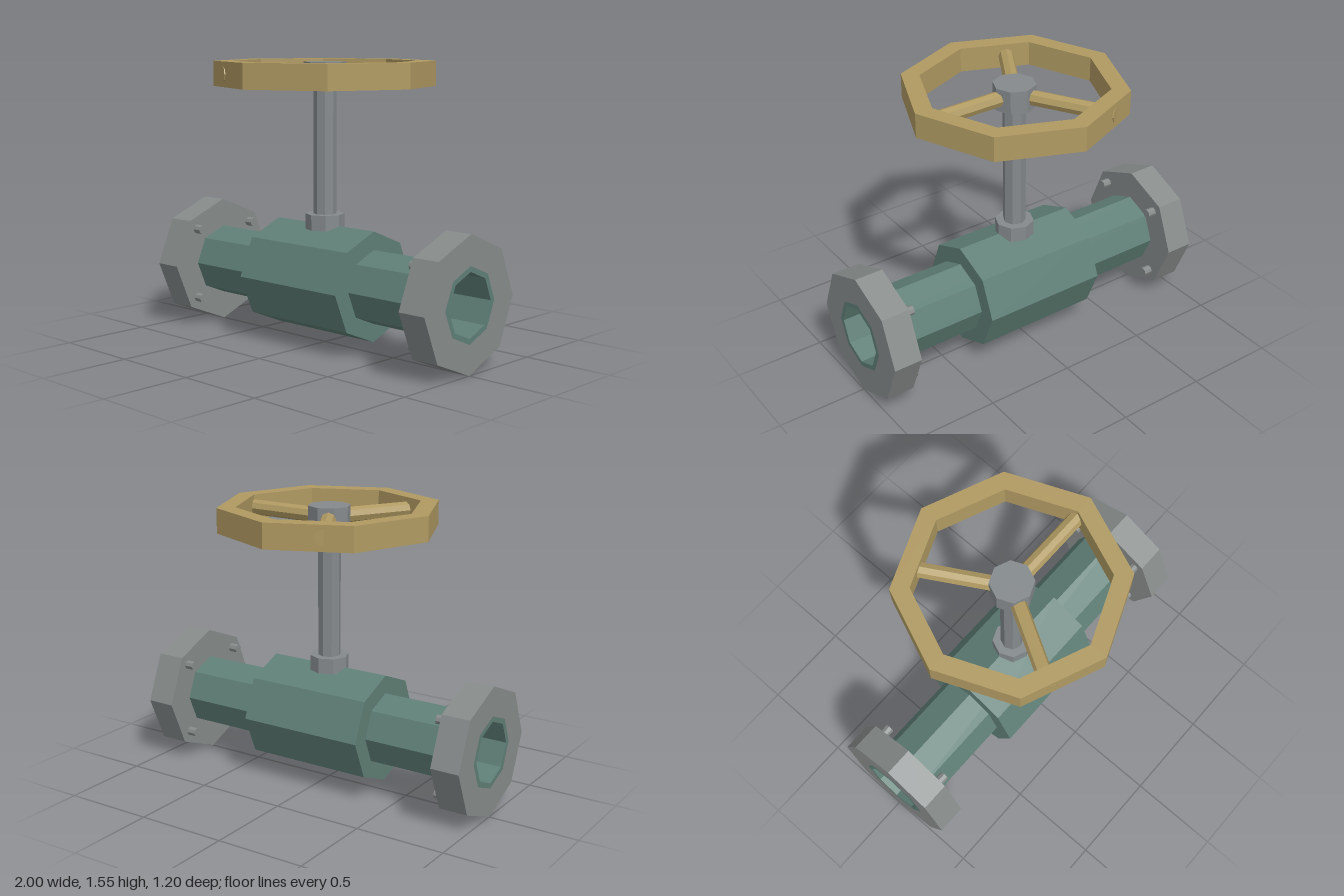
import * as THREE from 'three';

const SIDES = 8;
const AXIS_Y = 0.36;   // height of the pipe axis
const WHEEL_Y = 1.483; // middle of the handwheel

// Faceted copy of a geometry
function facet(geometry) {
  const flat = geometry.index ? geometry.toNonIndexed() : geometry;
  flat.computeVertexNormals();
  return flat;
}

// Eight-sided solid prism along y
function prism(radius, height) {
  return facet(new THREE.CylinderGeometry(radius, radius, height, SIDES));
}

// Eight-sided hollow ring along y
function ring(outer, inner, height) {
  const h = height / 2;
  const profile = [[outer, -h], [outer, h], [inner, h], [inner, -h], [outer, -h]]
    .map(([r, y]) => new THREE.Vector2(r, y));
  return facet(new THREE.LatheGeometry(profile, SIDES));
}

export function createModel() {
  const make = (name, color) => {
    const material = new THREE.MeshStandardMaterial({ color });
    material.name = name;
    return material;
  };
  const green = make('green paint', 0x5f7f76);
  const grey = make('flange grey', 0x868b8a);
  const steel = make('stem steel', 0x858a8d);
  const gold = make('wheel brass', 0xb09a62);

  const model = new THREE.Group();
  model.name = 'valve';
  const add = (parent, name, geometry, material, x = 0, y = 0, z = 0) => {
    const mesh = new THREE.Mesh(geometry, material);
    mesh.name = name;
    mesh.position.set(x, y, z);
    parent.add(mesh);
    return mesh;
  };

  // Pipe line: open bore, thicker valve body, a flange at each end
  const line = new THREE.Group();
  line.name = 'pipeLine';
  line.position.y = AXIS_Y;
  model.add(line);
  const along = (...args) => { add(line, ...args).rotation.z = Math.PI / 2; };

  along('pipe', ring(0.2, 0.17, 2), green);
  along('valveBody', ring(0.3, 0.19, 0.72), green);
  for (const side of [-1, 1]) {
    along('flange', ring(0.36, 0.199, 0.16), grey, side * 0.92);
    // Four bolts on the inner face of each flange
    for (const v of [-1, 1]) for (const w of [-1, 1]) {
      along('bolt', prism(0.026, 0.08), grey, side * 0.83, v * 0.203, w * 0.203);
    }
  }

  // Stem and its collar
  add(model, 'collar', prism(0.107, 0.085), steel, 0, 0.678, 0);
  add(model, 'stem', prism(0.062, 0.86), steel, 0, 1.03, 0);

  // Handwheel: hub, rim and three spokes
  const wheel = new THREE.Group();
  wheel.name = 'handwheel';
  wheel.position.y = WHEEL_Y;
  model.add(wheel);
  add(wheel, 'hub', prism(0.115, 0.125), steel);
  add(wheel, 'rim', ring(0.6, 0.5, 0.135), gold);
  for (let i = 0; i < 3; i++) {
    const arm = new THREE.Group();
    arm.name = 'spoke';
    arm.rotation.y = i * Math.PI * 2 / 3;
    add(arm, 'spokeBar', prism(0.042, 0.5), gold, 0.31).rotation.z = Math.PI / 2;
    wheel.add(arm);
  }
  return model;
}
